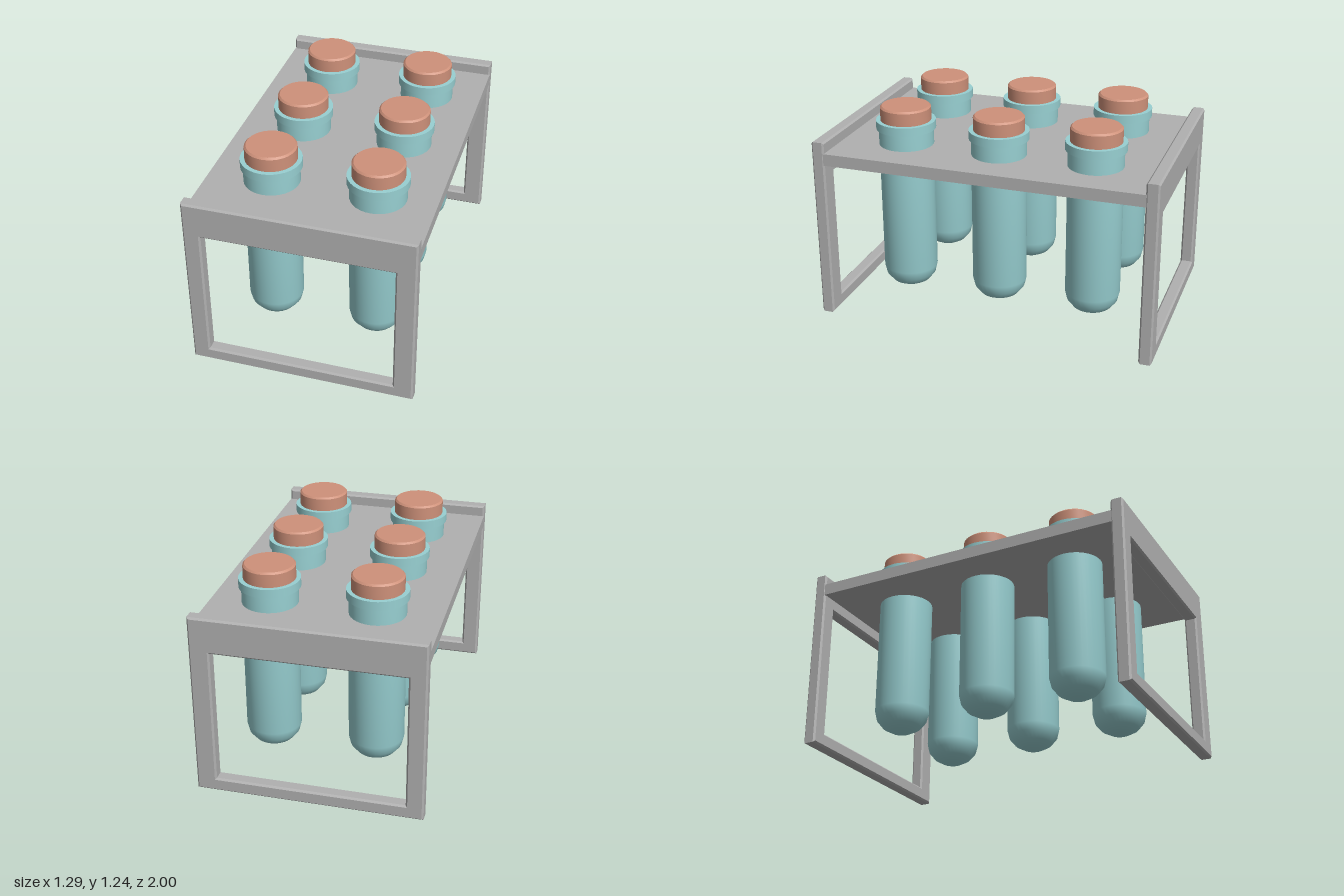
import * as THREE from 'three';
import { toCreasedNormals } from 'three/addons/utils/BufferGeometryUtils.js';

const mat = (name, color) => new THREE.MeshStandardMaterial({ name, color });

export function createModel() {
  const rack = mat('rackGrey', 0xb0b0b0);
  const glass = mat('tubeTeal', 0x98d0d2);
  const cork = mat('stopperTerracotta', 0xce917a);
  const model = new THREE.Group();
  model.name = 'testTubeRack';

  const add = (parent, name, geometry, material, x = 0, y = 0, z = 0) => {
    const mesh = new THREE.Mesh(geometry, material);
    mesh.name = name;
    mesh.position.set(x, y, z);
    parent.add(mesh);
    return mesh;
  };
  const rect = (T, x0, y0, x1, y1) => new T([[x0, y0], [x1, y0], [x1, y1], [x0, y1]].map(p => new THREE.Vector2(...p)));

  // Chamfered end frames with a large window
  const outline = rect(THREE.Shape, -0.645, 0, 0.645, 1.075);
  outline.holes.push(rect(THREE.Path, -0.545, 0.08, 0.53, 0.87));
  const bevel = 0.01;
  const frame = new THREE.ExtrudeGeometry(outline, {
    depth: 0.075 - 2 * bevel, bevelEnabled: true, bevelSegments: 1,
    bevelSize: bevel, bevelThickness: bevel, bevelOffset: -bevel,
  });
  frame.translate(0, 0, bevel);
  add(model, 'frontFrame', frame, rack, 0, 0, 0.925);
  add(model, 'backFrame', frame, rack, 0, 0, -1);

  // Shelf between the frames
  add(model, 'shelf', new THREE.BoxGeometry(1.29, 0.07, 1.86), rack, 0, 0.975, 0);

  // Tube with a rounded bottom
  const r = 0.158, segments = 32;
  const profile = [];
  for (let i = 0; i <= 4; i++) {
    const a = i / 4 * Math.PI / 2;
    profile.push(new THREE.Vector2(r * Math.sin(a), 0.24 - 0.13 * Math.cos(a)));
  }
  profile.push(new THREE.Vector2(r, 1.12));
  const body = toCreasedNormals(new THREE.LatheGeometry(profile, segments), 0.7);
  const collar = new THREE.CylinderGeometry(0.172, 0.172, 0.05, segments);

  // Stopper with a chamfered top edge
  const stopper = toCreasedNormals(new THREE.LatheGeometry(
    [[0.146, 1.14], [0.146, 1.23], [0.136, 1.24], [0, 1.24]].map(p => new THREE.Vector2(...p)), segments), 0.5);

  for (const x of [-0.287, 0.318]) {
    for (const z of [-0.573, -0.009, 0.556]) {
      const tube = new THREE.Group();
      tube.name = 'stopperedTube';
      tube.position.set(x, 0, z);
      add(tube, 'tubeBody', body, glass);
      add(tube, 'tubeCollar', collar, glass, 0, 1.13, 0);
      add(tube, 'stopper', stopper, cork);
      model.add(tube);
    }
  }
  return model;
}
